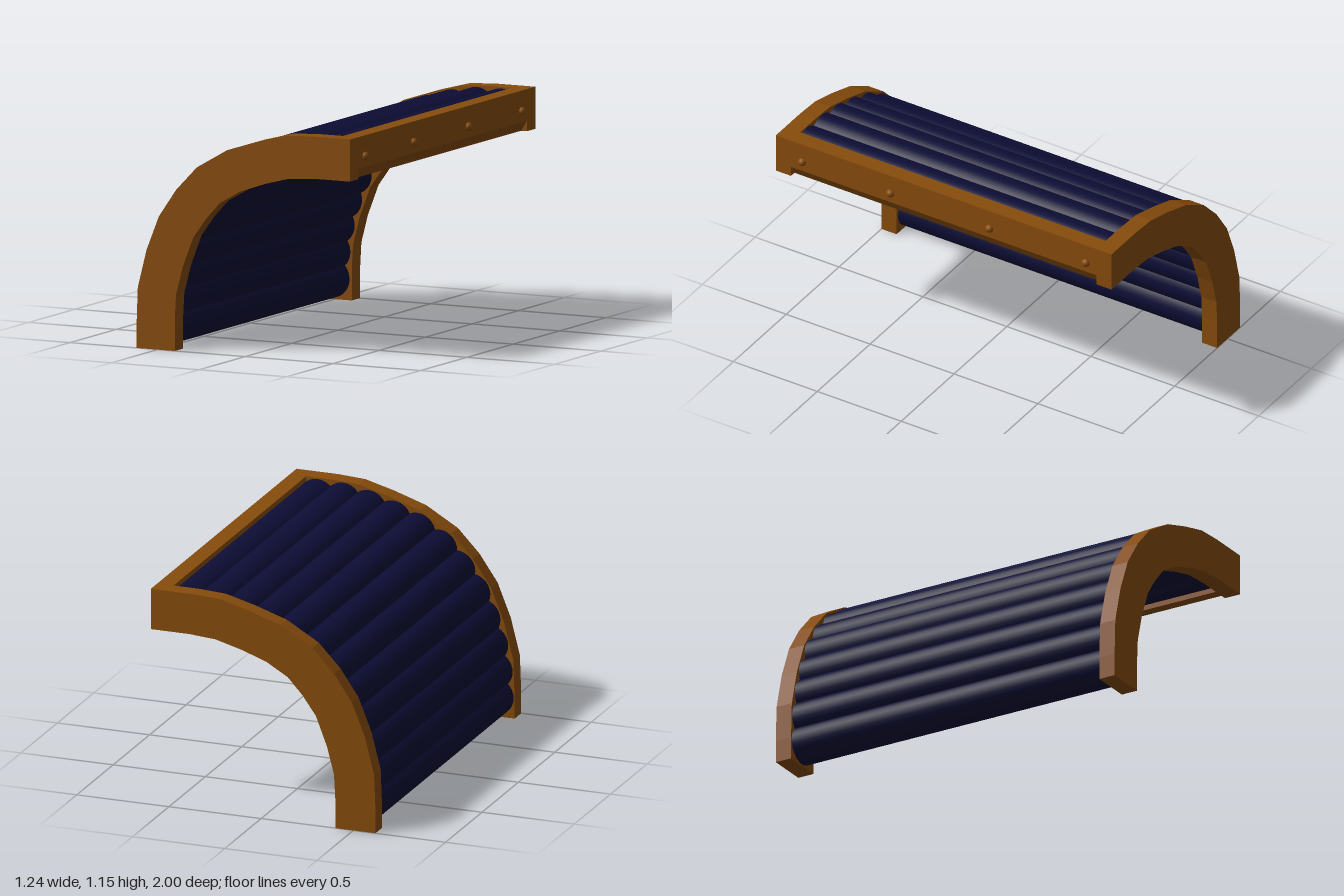
import * as THREE from 'three';

const wood = new THREE.MeshStandardMaterial({ color: 0x874c0c });
wood.name = 'brown wood';
const fabric = new THREE.MeshStandardMaterial({ color: 0x0d0d36 });
fabric.name = 'navy padding';

const HALF = 1;        // half length of the model
const RAIL = 0.09;     // thickness of the frame
const INNER = HALF - RAIL;

// Outer and inner edges of the curved side rail
const outer = [[-0.62, 0], [-0.62, 0.12], [-0.613, 0.31], [-0.563, 0.505], [-0.493, 0.68], [-0.395, 0.822],
  [-0.277, 0.945], [-0.105, 1.045], [0.065, 1.1], [0.225, 1.142], [0.37, 1.15], [0.598, 1.15]];
const inner = [[-0.402, 0], [-0.402, 0.16], [-0.395, 0.285], [-0.358, 0.427], [-0.297, 0.585], [-0.225, 0.685],
  [-0.145, 0.772], [-0.028, 0.84], [0.11, 0.888], [0.25, 0.925], [0.39, 0.935], [0.598, 0.935]];

function extrude(points, depth) {
  const shape = new THREE.Shape(points.map(([x, y]) => new THREE.Vector2(x, y)));
  return new THREE.ExtrudeGeometry(shape, { depth, bevelEnabled: false });
}

function add(group, name, geometry, material, x = 0, y = 0, z = 0) {
  const mesh = new THREE.Mesh(geometry, material);
  mesh.name = name;
  mesh.position.set(x, y, z);
  group.add(mesh);
  return mesh;
}

export function createModel() {
  const model = new THREE.Group();
  model.name = 'paddedArch';

  // Curved side rails
  const railGeometry = extrude([...outer, ...[...inner].reverse()], RAIL);
  add(model, 'frontRail', railGeometry, wood, 0, 0, INNER);
  add(model, 'backRail', railGeometry, wood, 0, 0, -HALF);

  // Crossbeam with a chamfered lower edge
  const beam = [[0.51, 0.935], [0.565, 0.935], [0.598, 0.99], [0.598, 1.15], [0.51, 1.15]];
  add(model, 'crossbeam', extrude(beam, INNER * 2), wood, 0, 0, -INNER);

  // Round pegs on the crossbeam
  const pegGeometry = new THREE.SphereGeometry(0.022, 16, 12);
  for (const z of [0.843, 0.318, -0.273, -0.847]) add(model, 'peg', pegGeometry, wood, 0.598, 1.045, z);

  // Overlapping padded rolls, evenly spaced along the middle of the rails
  const centreLine = new THREE.CatmullRomCurve3([[-0.515, 0.108], [-0.504, 0.3], [-0.46, 0.467], [-0.396, 0.632],
    [-0.31, 0.755], [-0.21, 0.857], [-0.067, 0.943], [0.088, 0.995], [0.237, 1.033], [0.35, 1.043], [0.45, 1.043],
  ].map(([x, y]) => new THREE.Vector3(x, y, 0)));
  const rollGeometry = new THREE.CylinderGeometry(0.1, 0.1, INNER * 2, 28).rotateX(Math.PI / 2);
  const rolls = new THREE.Group();
  rolls.name = 'rolls';
  for (const p of centreLine.getSpacedPoints(11)) add(rolls, 'roll', rollGeometry, fabric, p.x, p.y, 0);
  model.add(rolls);

  return model;
}
